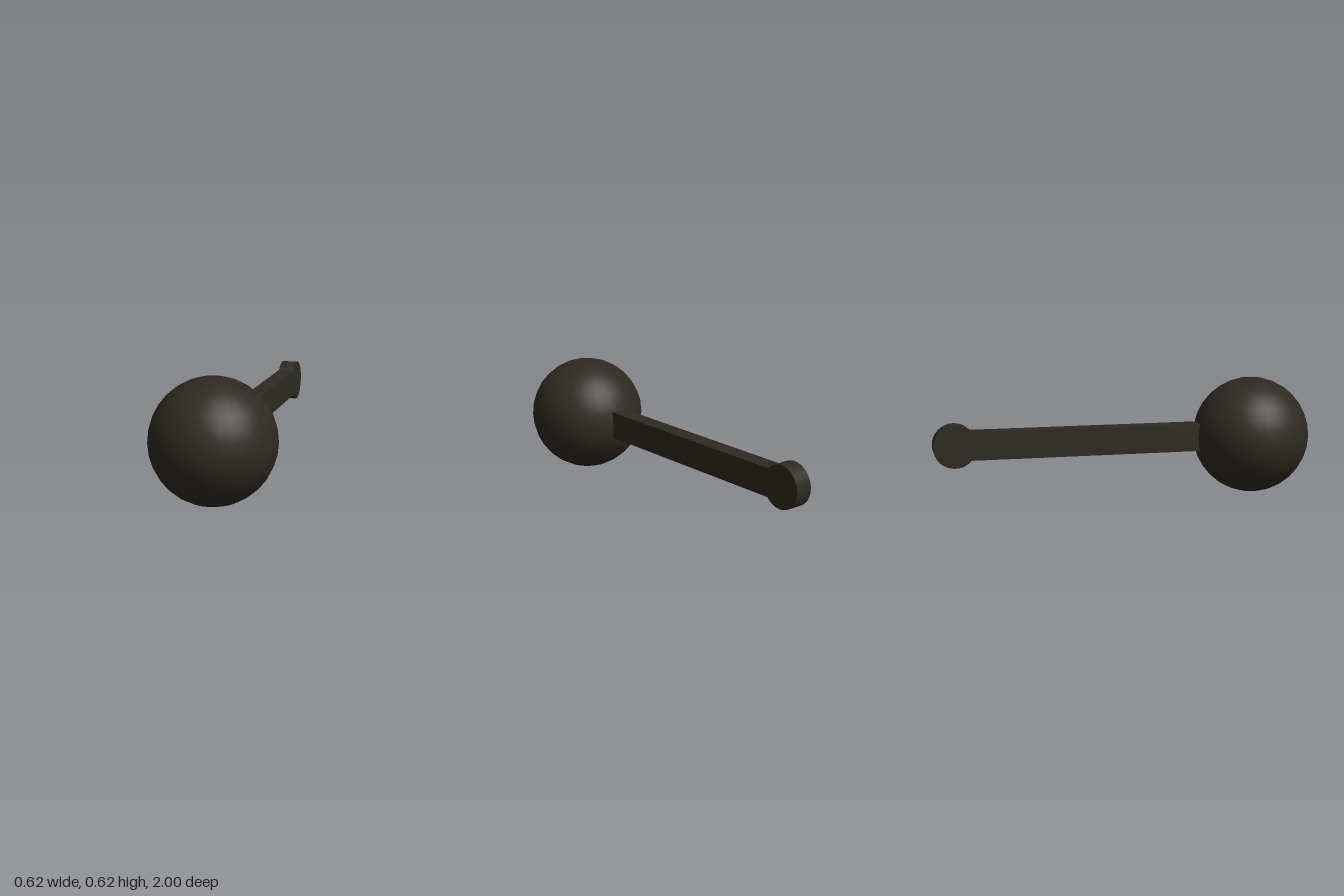
import * as THREE from 'three';

export function createModel() {
  const group = new THREE.Group();
  const material = new THREE.MeshStandardMaterial({ color: 0x2e2922 });
  const R = 0.308, thickness = 0.09, capR = 0.11;

  const add = (name, geometry, z) => {
    const mesh = new THREE.Mesh(geometry, material);
    mesh.name = name;
    mesh.position.set(0, R, z);
    group.add(mesh);
  };

  // Large ball at the front
  add('ball', new THREE.SphereGeometry(R, 32, 16), 1 - R);

  // Flat bar from inside the ball to the centre of the end disc
  const barFront = 0.6, barBack = -1 + capR;
  add('bar', new THREE.BoxGeometry(thickness, 0.145, barFront - barBack), (barFront + barBack) / 2);

  // Disc on its edge at the back, as thick as the bar
  add('endDisc', new THREE.CylinderGeometry(capR, capR, thickness, 32).rotateZ(Math.PI / 2), barBack);

  return group;
}
